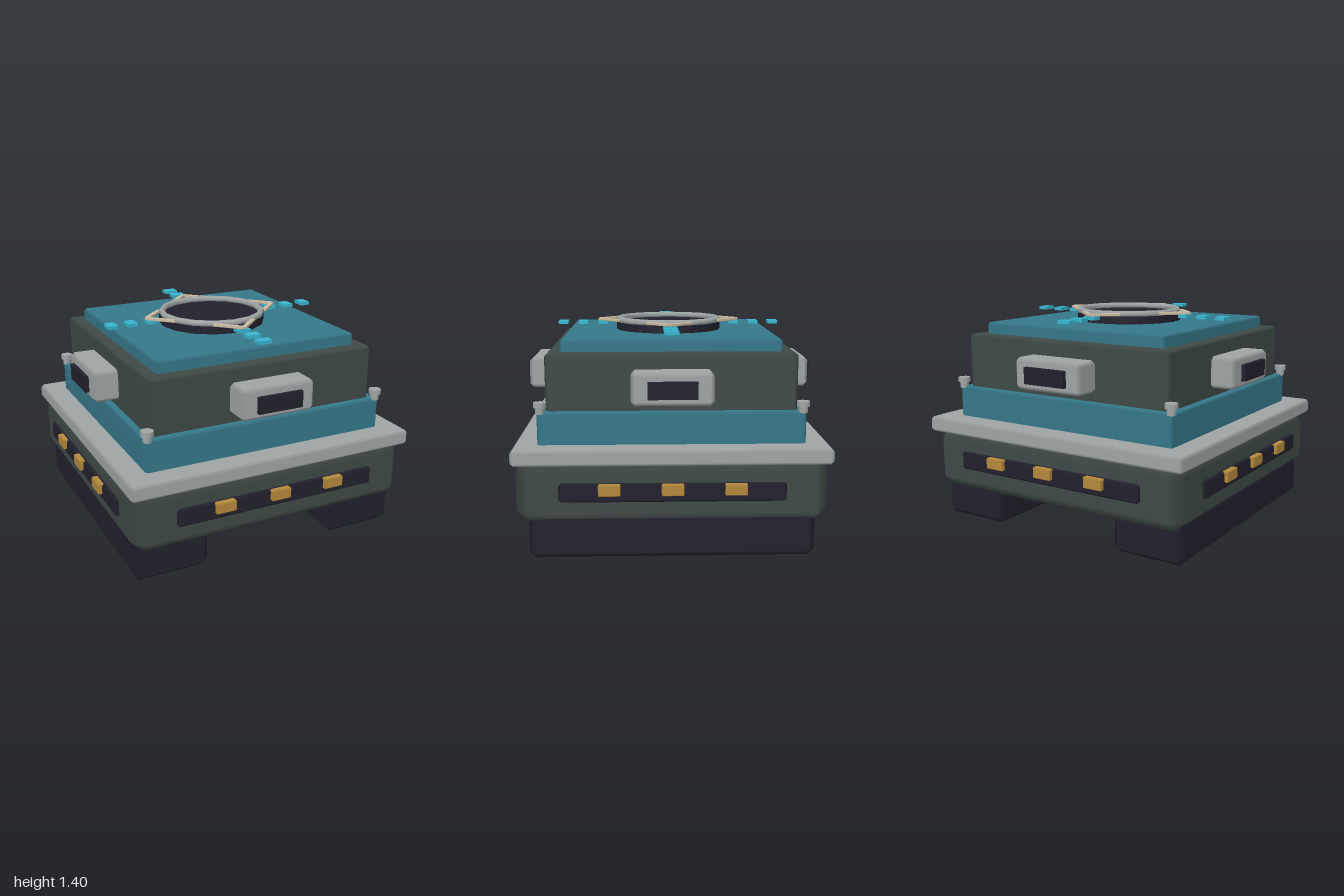
import * as THREE from 'three';
import { ConvexGeometry } from 'three/addons/geometries/ConvexGeometry.js';

const mat = (name, color) => {
  const m = new THREE.MeshStandardMaterial({ color });
  m.name = name;
  return m;
};

// Box with chamfered edges; normals follow the main faces so the chamfers shade softly
function chamferBox(w, h, d, r) {
  const half = [w / 2, h / 2, d / 2];
  const points = [];
  for (let axis = 0; axis < 3; axis++)
    for (const sx of [-1, 1]) for (const sy of [-1, 1]) for (const sz of [-1, 1]) {
      const p = [sx, sy, sz].map((s, i) => s * (half[i] - (i === axis ? 0 : r)));
      points.push(new THREE.Vector3(...p));
    }
  const geo = new ConvexGeometry(points);
  const pos = geo.attributes.position, nor = geo.attributes.normal;
  for (let i = 0; i < pos.count; i++) {
    const p = [pos.getX(i), pos.getY(i), pos.getZ(i)];
    const n = p.map((v, k) => (Math.abs(v) > half[k] - r * 0.5 ? Math.sign(v) : 0));
    nor.setXYZ(i, ...n);
  }
  return geo;
}

export function createModel() {
  const hull = mat('dark green grey hull', 0x3f4a47);
  const teal = mat('teal panel', 0x35788a);
  const grey = mat('light grey metal', 0x9fa5a5);
  const black = mat('near black', 0x22212d);
  const amber = mat('amber light', 0xb5893c);
  const cyan = mat('cyan light', 0x38b6cf);
  const beige = mat('beige trim', 0xcbbca3);

  const model = new THREE.Group();
  model.name = 'vehicle';

  const add = (parent, name, geo, material, x = 0, y = 0, z = 0) => {
    const mesh = new THREE.Mesh(geo, material);
    mesh.name = name;
    mesh.position.set(x, y, z);
    parent.add(mesh);
    return mesh;
  };
  // Square tier between two heights
  const tier = (name, size, y0, y1, r, material) =>
    add(model, name, chamferBox(size, y1 - y0, size, r), material, 0, (y0 + y1) / 2, 0);

  // Stacked body
  tier('lowerHull', 1.9, 0.21, 0.62, 0.08, hull);
  tier('rimPlate', 1.94, 0.59, 0.69, 0.02, grey);
  tier('lowerTealBand', 1.64, 0.67, 0.89, 0.015, teal);
  tier('upperHull', 1.54, 0.87, 1.24, 0.018, hull);
  tier('roofPanel', 1.37, 1.22, 1.315, 0.015, teal);

  // Treads
  for (const s of [-1, 1])
    add(model, s > 0 ? 'leftTread' : 'rightTread', chamferBox(0.485, 0.27, 1.75, 0.035), black, s * 0.682, 0.135, 0);

  // Roof hatch
  add(model, 'hatchDrum', new THREE.CylinderGeometry(0.355, 0.355, 0.06, 16), black, 0, 1.335, 0);
  const ring = add(model, 'hatchRing', new THREE.TorusGeometry(0.337, 0.022, 6, 16), grey, 0, 1.38, 0);
  ring.rotation.x = -Math.PI / 2;

  // Parts repeated on all four sides
  const strip = chamferBox(1.37, 0.115, 0.06, 0.014);
  const lamp = chamferBox(0.135, 0.07, 0.05, 0.006);
  const pod = chamferBox(0.5, 0.2, 0.19, 0.025);
  const screen = new THREE.BoxGeometry(0.3, 0.105, 0.05);
  const marker = new THREE.BoxGeometry(0.09, 0.022, 0.064);
  const bar = chamferBox(0.205, 0.018, 0.032, 0.004);
  const studHead = new THREE.CylinderGeometry(0.04, 0.04, 0.032, 12);
  const studStem = new THREE.CylinderGeometry(0.028, 0.028, 0.05, 12);

  ['front', 'left', 'back', 'right'].forEach((label, i) => {
    const side = new THREE.Group();
    side.name = label + 'Side';
    side.rotation.y = (i * Math.PI) / 2;
    model.add(side);

    // Light strip with three lamps
    add(side, 'lightStrip', strip, black, 0, 0.428, 0.945);
    for (const x of [-0.38, 0, 0.38]) add(side, 'lamp', lamp, amber, x, 0.45, 0.975);

    // Sensor pod
    add(side, 'sensorPod', pod, grey, 0, 1.045, 0.835);
    add(side, 'sensorScreen', screen, black, 0, 1.043, 0.932);

    // Floating roof markers
    for (const z of [0.445, 0.58, 0.717]) add(side, 'roofMarker', marker, cyan, 0, 1.359, z);

    // Chevron pointing outward
    for (const s of [-1, 1]) {
      const b = add(side, 'chevronBar', bar, beige, s * 0.072, 1.38, 0.398);
      b.rotation.y = s * Math.PI / 4;
    }

    // Corner stud
    add(side, 'cornerStudHead', studHead, grey, 0.8, 0.935, 0.8);
    add(side, 'cornerStudStem', studStem, grey, 0.8, 0.905, 0.8);
  });

  return model;
}
